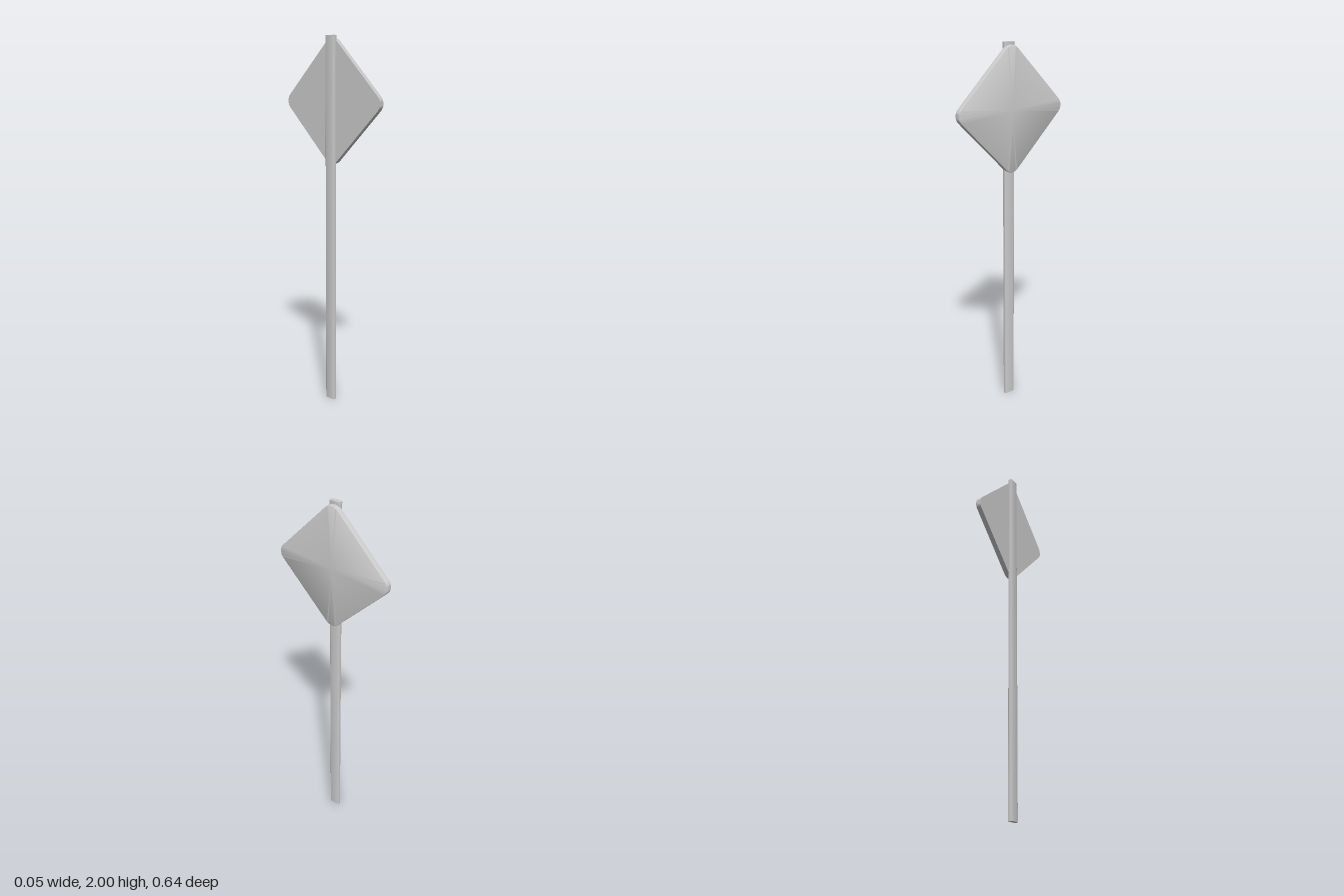
import * as THREE from 'three';
import { toCreasedNormals } from 'three/addons/utils/BufferGeometryUtils.js';

const material = new THREE.MeshStandardMaterial({ color: 0xcccccc });

// Counter-clockwise outline of a rounded rectangle, turned by an angle
function roundedOutline(halfW, halfH, radius, turn = 0, steps = 8) {
  const points = [];
  [[1, 1], [-1, 1], [-1, -1], [1, -1]].forEach(([sx, sy], corner) => {
    for (let i = 0; i <= steps; i++) {
      const a = (corner + i / steps) * Math.PI / 2;
      const p = new THREE.Vector2(
        sx * (halfW - radius) + radius * Math.cos(a),
        sy * (halfH - radius) + radius * Math.sin(a));
      points.push(p.rotateAround(new THREE.Vector2(), turn));
    }
  });
  return points;
}

// Diamond plate facing +x: outlines joined from back to front, closed by flat caps
function plateGeometry(half, radius, profile) {
  const rings = profile.map(([x, inset]) =>
    roundedOutline(half - inset, half - inset, radius - inset, Math.PI / 4)
      .map((p) => new THREE.Vector3(x, p.y, -p.x)));
  const triangles = [];
  const n = rings[0].length;
  const back = rings[0], front = rings[rings.length - 1];
  const backCentre = new THREE.Vector3(back[0].x, 0, 0);
  const frontCentre = new THREE.Vector3(front[0].x, 0, 0);
  for (let j = 0; j < n; j++) {
    const k = (j + 1) % n;
    for (let i = 0; i < rings.length - 1; i++) {
      const a = rings[i][j], b = rings[i][k], c = rings[i + 1][k], d = rings[i + 1][j];
      triangles.push(a, b, c, a, c, d);
    }
    triangles.push(backCentre, back[k], back[j], frontCentre, front[j], front[k]);
  }
  const geometry = new THREE.BufferGeometry().setFromPoints(triangles);
  return toCreasedNormals(geometry, 0.6);
}

export function createModel() {
  const model = new THREE.Group();
  model.name = 'diamondRoadSign';

  // Flat post with rounded long edges
  const postGeometry = new THREE.ExtrudeGeometry(
    new THREE.Shape(roundedOutline(0.0115, 0.032, 0.009)),
    { depth: 2, bevelEnabled: false });
  postGeometry.rotateX(-Math.PI / 2);
  const post = new THREE.Mesh(toCreasedNormals(postGeometry, 0.6), material);
  post.name = 'post';
  post.position.x = -0.0115;
  model.add(post);

  // Diamond plate, let slightly into the post, with a softened front rim
  const rim = 0.005;
  const profile = [[-0.007, 0]];
  for (let i = 0; i <= 4; i++) {
    const a = i / 4 * Math.PI / 2;
    profile.push([0.023 - rim + rim * Math.sin(a), rim * (1 - Math.cos(a))]);
  }
  const plate = new THREE.Mesh(plateGeometry(0.242, 0.05, profile), material);
  plate.name = 'signPlate';
  plate.position.y = 1.664;
  model.add(plate);

  return model;
}
